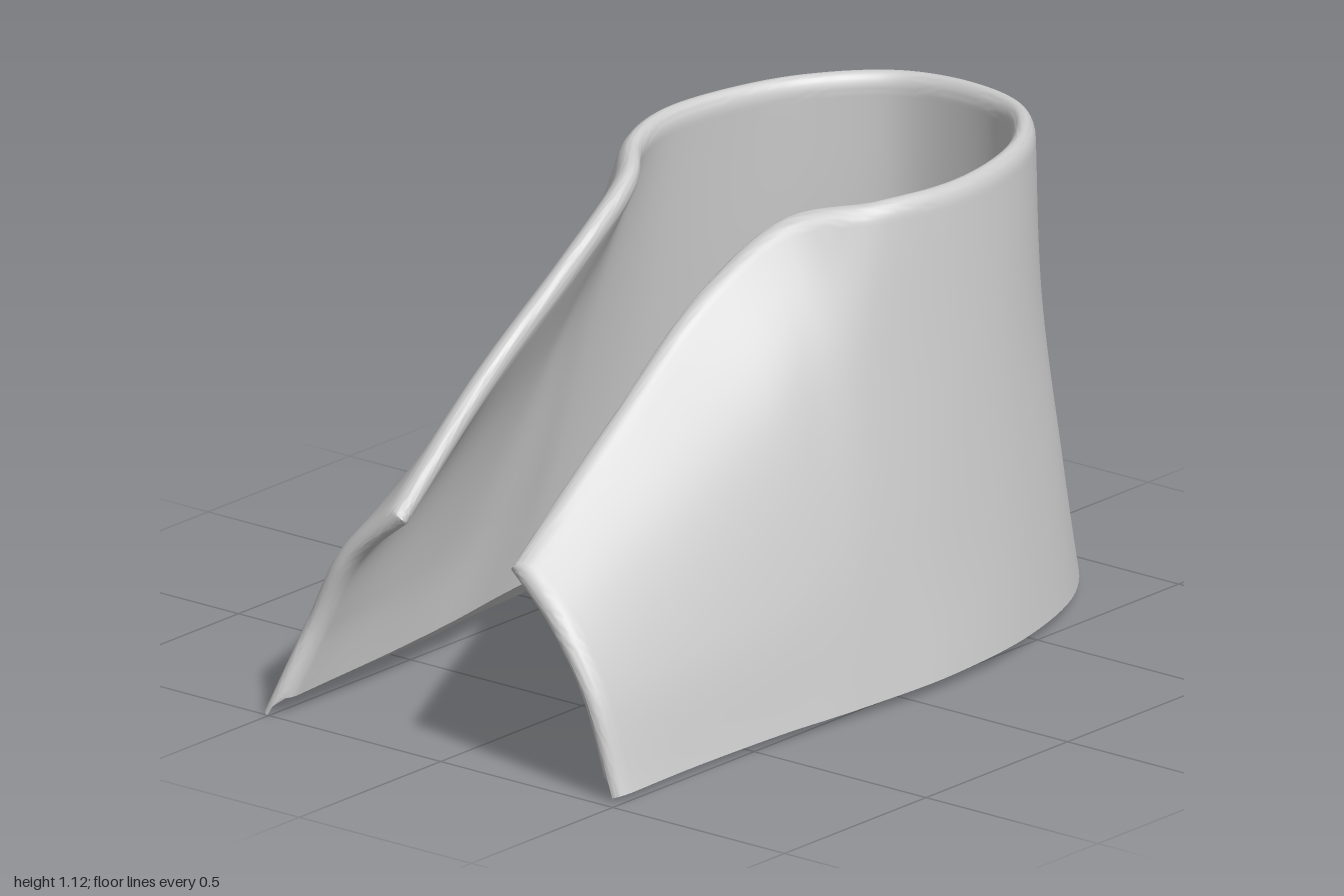
import * as THREE from 'three';
import { mergeVertices, toCreasedNormals } from 'three/addons/utils/BufferGeometryUtils.js';

// Each station is a rib of the shell: four points from the hem up to the rim.
const heel = [
  [[0.22, 0.02, -0.95], [0.2, 0.3, -0.905], [0.185, 0.7, -0.86], [0.185, 1.115, -0.845]],
  [[0.4, 0.02, -0.76], [0.375, 0.3, -0.74], [0.345, 0.7, -0.7], [0.335, 1.115, -0.685]],
  [[0.515, 0.02, -0.46], [0.485, 0.3, -0.47], [0.445, 0.7, -0.48], [0.412, 1.115, -0.49]],
  [[0.557, 0.02, -0.12], [0.515, 0.3, -0.17], [0.47, 0.7, -0.25], [0.432, 1.115, -0.28]],
];
const heelCentre = [[0, 0.02, -1], [0, 0.3, -0.94], [0, 0.7, -0.895], [0, 1.117, -0.885]];
const leftFlap = [
  [[0.54, 0.015, 0.12], [0.49, 0.35, 0.07], [0.425, 0.75, 0], [0.38, 1.115, -0.09]],
  [[0.53, 0.015, 0.25], [0.47, 0.35, 0.2], [0.365, 0.75, 0.14], [0.235, 1.09, 0.06]],
  [[0.515, 0.015, 0.4], [0.46, 0.3, 0.36], [0.345, 0.65, 0.31], [0.166, 0.97, 0.25]],
  [[0.495, 0.01, 0.7], [0.44, 0.25, 0.66], [0.33, 0.5, 0.63], [0.163, 0.735, 0.59]],
  [[0.5, 0.01, 0.97], [0.425, 0.23, 0.975], [0.32, 0.38, 0.975], [0.182, 0.495, 0.965]],
];
const rightFlap = [
  [[-0.545, 0.02, 0.1], [-0.495, 0.35, 0.06], [-0.435, 0.75, -0.02], [-0.385, 1.11, -0.12]],
  [[-0.535, 0.02, 0.25], [-0.47, 0.35, 0.2], [-0.39, 0.75, 0.14], [-0.285, 1.085, 0.02]],
  [[-0.515, 0.02, 0.42], [-0.47, 0.3, 0.38], [-0.38, 0.65, 0.3], [-0.25, 0.97, 0.25]],
  [[-0.505, 0.02, 0.68], [-0.46, 0.25, 0.64], [-0.385, 0.5, 0.6], [-0.262, 0.75, 0.56]],
  [[-0.53, 0, 1], [-0.475, 0.2, 0.92], [-0.395, 0.37, 0.9], [-0.238, 0.5, 0.88]],
];
const mirror = (rib) => rib.map(([x, y, z]) => [-x, y, z]);
const stations = [
  ...[...rightFlap].reverse(), ...heel.map(mirror).reverse(),
  heelCentre, ...heel, ...leftFlap,
];

// Lengthwise curves through the ribs; u runs around the heel, v runs hem to rim.
const rails = [0, 1, 2, 3].map((k) => new THREE.CatmullRomCurve3(
  stations.map((rib) => new THREE.Vector3(...rib[k]))));
const ribAt = (u) => new THREE.CatmullRomCurve3(rails.map((c) => c.getPoint(u)), false, 'catmullrom', 0.5);

// Parameters with extra steps where the edge rounds over
const HALF = 0.027; // half the wall thickness
const EDGE = 0.045; // length of the rounded taper
const STEPS = 9;
const rounding = (size) => Array.from({ length: STEPS },
  (_, i) => size * (1 - Math.cos((i / STEPS) * Math.PI / 2)));
const spread = (a, b, n) => Array.from({ length: n + 1 }, (_, i) => a + (b - a) * i / n);
const uEdge = rounding(0.009);
const us = [...uEdge, ...spread(0.009, 0.991, 130), ...uEdge.map((e) => 1 - e).reverse()];
const vs = [...spread(0, 0.955, 30), ...rounding(0.045).map((e) => 1 - e).reverse()];

// Outer and inner skins meet in a smooth taper along the rim and front edges.
function buildShell() {
  const positions = [];
  const index = [];
  const eps = 0.002;
  const firstRib = ribAt(0);
  const lastRib = ribAt(1);
  const cols = vs.length;
  const skinSize = us.length * cols;

  for (const inner of [false, true]) {
    for (const u of us) {
      const rib = ribAt(u);
      const before = ribAt(Math.max(0, u - eps));
      const after = ribAt(Math.min(1, u + eps));
      const rim = rib.getPoint(1);
      for (const v0 of vs) {
        const v = inner ? 0.07 + 0.93 * v0 : v0;
        const p = rib.getPoint(v);
        const du = after.getPoint(v).sub(before.getPoint(v));
        const dv = rib.getPoint(Math.min(1, v + eps)).sub(rib.getPoint(Math.max(0, v - eps)));
        const n = dv.cross(du).normalize();
        const d = Math.min(EDGE, p.distanceTo(rim),
          p.distanceTo(firstRib.getPoint(v)), p.distanceTo(lastRib.getPoint(v)));
        const inset = HALF * (1 - Math.sqrt(1 - (1 - d / EDGE) ** 2));
        p.addScaledVector(n, -(inner ? 2 * HALF - inset : inset));
        positions.push(p.x, p.y, p.z);
      }
    }
  }

  const quad = (a, b, c, d) => index.push(a, b, c, a, c, d);
  for (let i = 0; i < us.length - 1; i++) {
    for (let j = 0; j < cols - 1; j++) {
      const a = i * cols + j;
      const b = a + cols;
      quad(a, a + 1, b + 1, b);
      quad(a + skinSize, b + skinSize, b + 1 + skinSize, a + 1 + skinSize);
    }
    // Bevelled hem joining the two skins
    const a = i * cols;
    const b = a + cols;
    quad(a, b, b + skinSize, a + skinSize);
  }

  const geometry = new THREE.BufferGeometry();
  geometry.setAttribute('position', new THREE.Float32BufferAttribute(positions, 3));
  geometry.setIndex(index);
  return toCreasedNormals(mergeVertices(geometry, 1e-5), 0.55);
}

export function createModel() {
  const group = new THREE.Group();
  group.name = 'ankleCuff';
  const shell = new THREE.Mesh(buildShell(),
    new THREE.MeshStandardMaterial({ color: 0xcccccc, side: THREE.DoubleSide }));
  shell.name = 'cuffShell';
  group.add(shell);
  return group;
}
